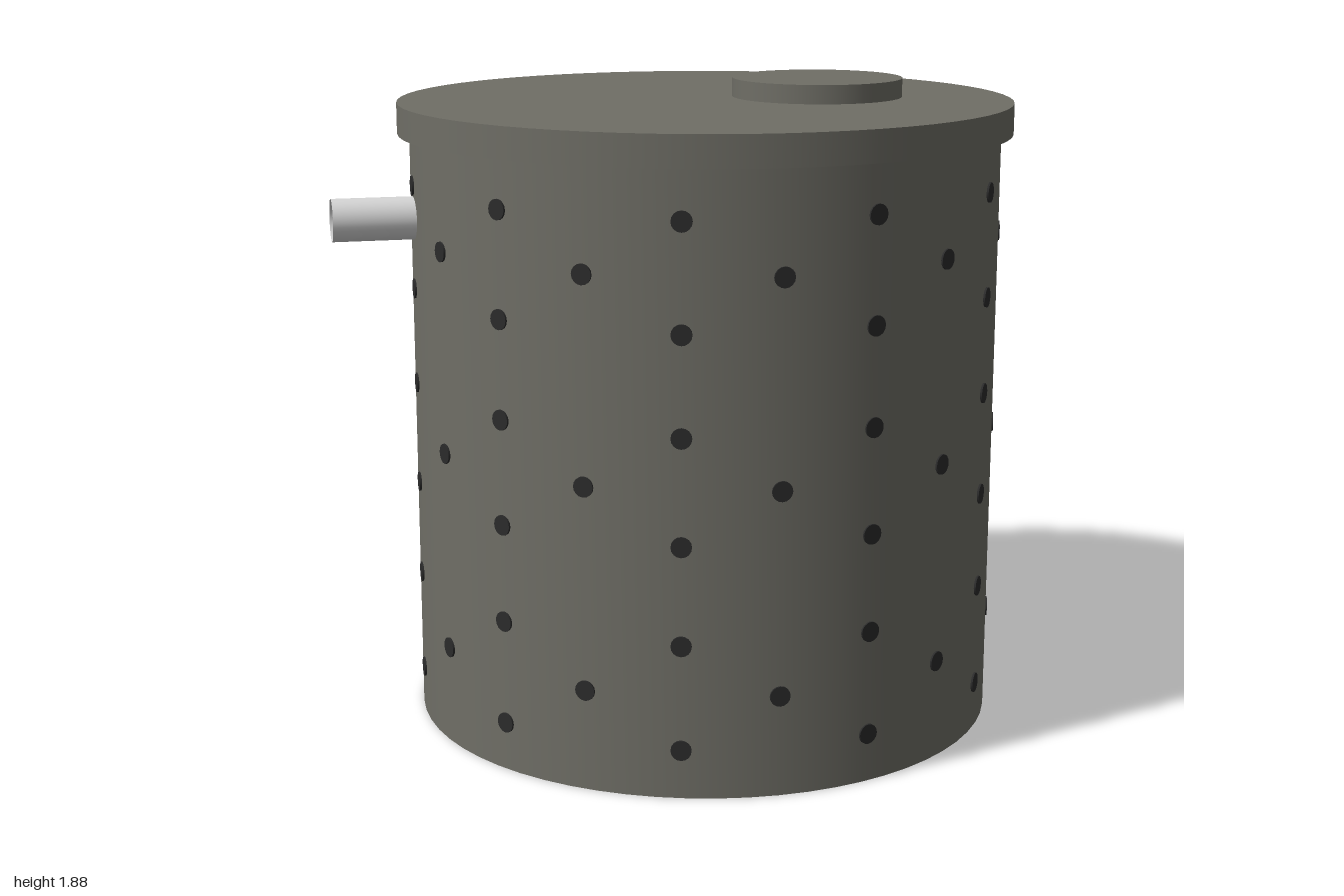
import * as THREE from 'three';
import { toCreasedNormals } from 'three/addons/utils/BufferGeometryUtils.js';

export function createModel() {
  const model = new THREE.Group();
  model.name = 'perforatedTank';

  const concrete = new THREE.MeshStandardMaterial({ color: 0x6f6e66 });
  concrete.name = 'concrete';
  const holeDark = new THREE.MeshStandardMaterial({ color: 0x2b2b2b });
  holeDark.name = 'holeDark';
  const pipeGrey = new THREE.MeshStandardMaterial({ color: 0xd6d6d6, side: THREE.DoubleSide });
  pipeGrey.name = 'pipeGrey';

  const AXIS_X = 0.1, R = 0.865, INNER = 0.785, WALL_TOP = 1.74;

  const add = (name, geometry, material, x, y, z = 0, parent = model) => {
    const mesh = new THREE.Mesh(geometry, material);
    mesh.name = name;
    mesh.position.set(x, y, z);
    parent.add(mesh);
    return mesh;
  };

  // Hollow wall, open at the bottom
  const profile = [[INNER, WALL_TOP], [INNER, 0], [R, 0], [R, WALL_TOP]]
    .map(([r, y]) => new THREE.Vector2(r, y));
  add('tankWall', toCreasedNormals(new THREE.LatheGeometry(profile, 64), 0.6), concrete, AXIS_X, 0);

  // Overhanging lid and round access hatch
  add('lid', new THREE.CylinderGeometry(0.9, 0.9, 0.09, 64), concrete, AXIS_X, 1.785);
  add('hatch', new THREE.CylinderGeometry(0.252, 0.252, 0.055, 48), concrete, 0.443, 1.8575);

  // Open inlet pipe through the wall
  const pipe = add('inletPipe', new THREE.CylinderGeometry(0.062, 0.062, 0.31, 32, 1, true),
    pipeGrey, -0.845, 1.507);
  pipe.rotation.z = Math.PI / 2;

  // Drain holes: three bands of three rows, the middle row staggered
  const holes = new THREE.Group();
  holes.name = 'drainHoles';
  holes.position.x = AXIS_X;
  model.add(holes);
  const holeGeometry = new THREE.CylinderGeometry(0.029, 0.029, 0.009, 16).rotateX(Math.PI / 2);
  for (const bandY of [0.29, 0.87, 1.45]) {
    for (const row of [-1, 0, 1]) {
      for (let i = 0; i < 10; i++) {
        const a = (i + (row === 0 ? 0 : 0.5)) * Math.PI / 5;
        const hole = add('drainHole', holeGeometry, holeDark,
          Math.sin(a) * R, bandY + row * 0.15, Math.cos(a) * R, holes);
        hole.rotation.y = a;
      }
    }
  }

  return model;
}
